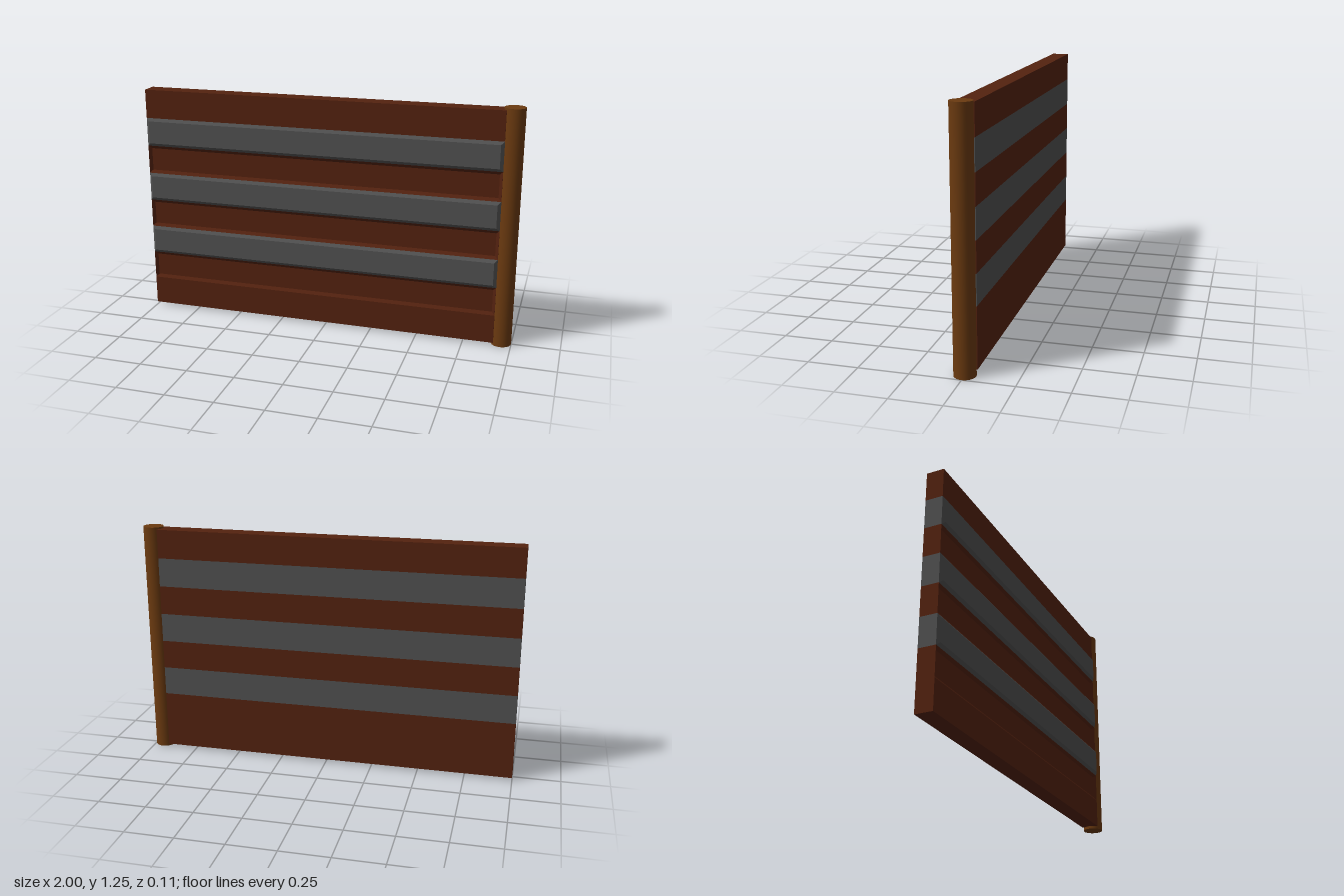
import * as THREE from 'three';

const X0 = -1, X1 = 0.91;           // panel ends
const BACK = -0.048, FRONT = 0.043; // panel faces
const INSET = 0.016;                // width of the bevel around each plank face

// Plank whose front face is inset and pushed out (relief > 0) or in (relief < 0)
function plankGeometry(y0, y1, relief) {
  const ring = (z, d) => [
    [X0 + d, y0 + d, z], [X1 - d, y0 + d, z], [X1 - d, y1 - d, z], [X0 + d, y1 - d, z],
  ];
  const rings = [ring(BACK, 0), ring(FRONT, 0), ring(FRONT + relief, INSET)];
  const pos = [];
  const quad = (a, b, c, d) => pos.push(...a, ...b, ...c, ...a, ...c, ...d);
  for (let r = 0; r < 2; r++) {
    for (let i = 0; i < 4; i++) {
      const j = (i + 1) % 4;
      quad(rings[r][i], rings[r][j], rings[r + 1][j], rings[r + 1][i]);
    }
  }
  quad(...rings[2]);
  quad(...rings[0].reverse());
  const geo = new THREE.BufferGeometry();
  geo.setAttribute('position', new THREE.Float32BufferAttribute(pos, 3));
  geo.computeVertexNormals();
  return geo;
}

export function createModel() {
  const group = new THREE.Group();
  const wood = new THREE.MeshStandardMaterial({ color: 0x54220f, flatShading: true });
  const metal = new THREE.MeshStandardMaterial({ color: 0x515151, flatShading: true });
  const postWood = new THREE.MeshStandardMaterial({ color: 0x6b3a10 });

  // Eight planks from bottom to top: raised grey bands between sunken wooden ones
  const reliefs = [0, -0.012, 0.012, -0.012, 0.012, -0.012, 0.012, 0];
  const bottom = 0.015, height = 1.225 / reliefs.length;
  reliefs.forEach((relief, i) => {
    const y = bottom + i * height;
    const mesh = new THREE.Mesh(plankGeometry(y, y + height, relief), relief > 0 ? metal : wood);
    mesh.name = relief > 0 ? 'metalBand' : 'woodPlank';
    group.add(mesh);
  });

  // Round post at the hinge end
  const post = new THREE.Mesh(new THREE.CylinderGeometry(0.053, 0.053, 1.25, 32), postWood);
  post.name = 'post';
  post.position.set(0.947, 0.625, 0);
  group.add(post);

  return group;
}
